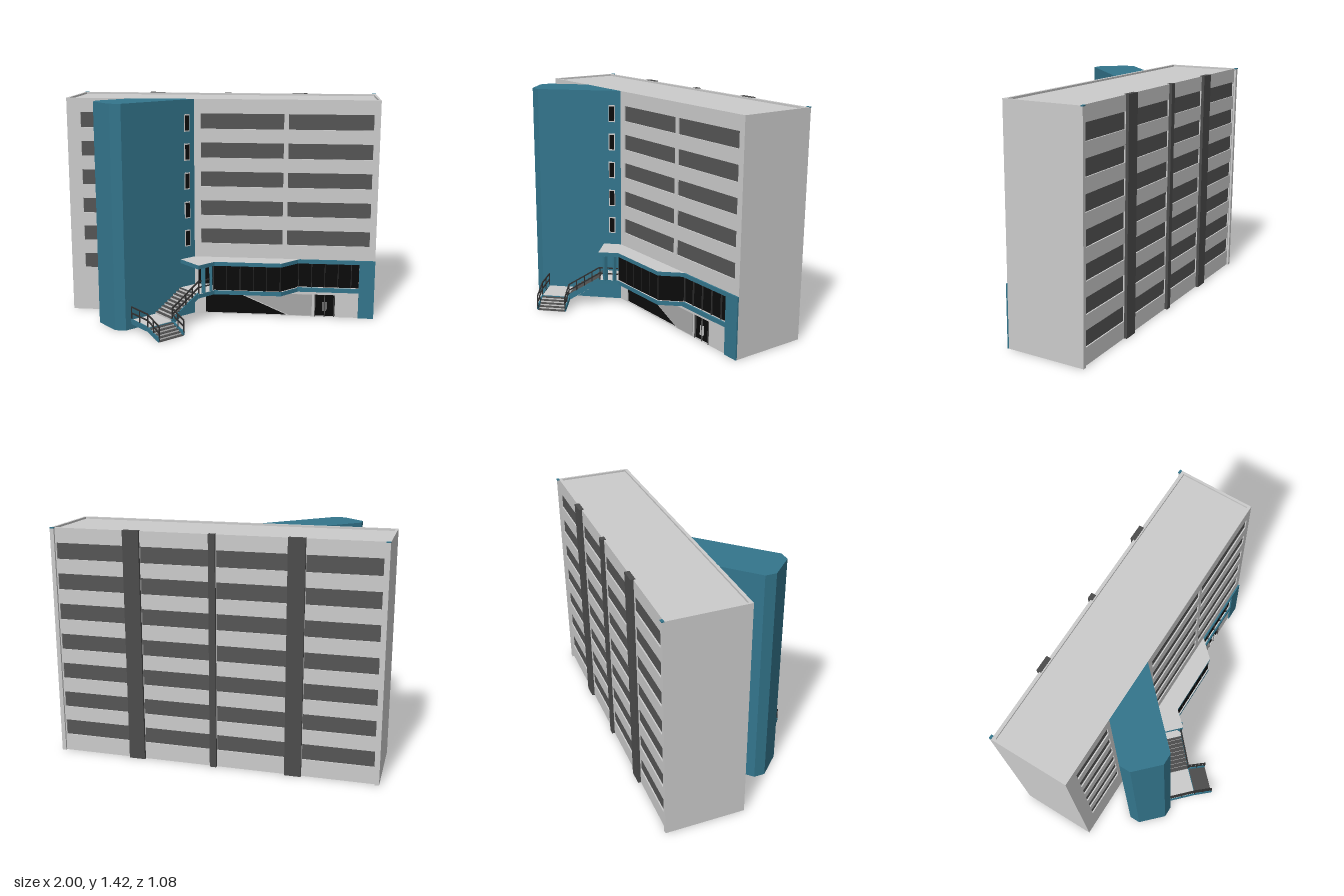
import * as THREE from 'three';

const mat = (name, color, side = THREE.FrontSide) => {
  const m = new THREE.MeshStandardMaterial({ color, side });
  m.name = name;
  return m;
};

export function createModel() {
  const wall = mat('lightWall', 0xcbcbcb);
  const teal = mat('tealPaint', 0x33758c);
  const strip = mat('greyGlass', 0x555555);
  const dark = mat('darkGrey', 0x4c4c4c);
  const black = mat('blackGlass', 0x0b0b0b, THREE.DoubleSide);
  const rail = mat('railMetal', 0x303030);
  const recess = mat('greyPanel', 0xa8a8a8);
  const root = new THREE.Group();

  const add = (name, geo, m, parent = root) => {
    const mesh = new THREE.Mesh(geo, m);
    mesh.name = name;
    parent.add(mesh);
    return mesh;
  };
  // box given by its minimum and maximum corners
  const box = (name, x0, x1, y0, y1, z0, z1, m, parent = root) => {
    const b = add(name, new THREE.BoxGeometry(x1 - x0, y1 - y0, z1 - z0), m, parent);
    b.position.set((x0 + x1) / 2, (y0 + y1) / 2, (z0 + z1) / 2);
    return b;
  };
  // straight square bar between two points
  const bar = (name, a, b, w, h, m, parent = root) => {
    const p = new THREE.Vector3(...a), q = new THREE.Vector3(...b);
    const mesh = add(name, new THREE.BoxGeometry(w, h, p.distanceTo(q)), m, parent);
    mesh.position.copy(p).add(q).multiplyScalar(0.5);
    const d = q.clone().sub(p).normalize();
    if (Math.abs(d.y) > 0.99) mesh.rotation.x = Math.PI / 2;
    else mesh.rotation.set(-Math.asin(d.y), Math.atan2(d.x, d.z), 0, 'YXZ');
    return mesh;
  };
  const shapeOf = pts => new THREE.Shape(pts.map(p => new THREE.Vector2(...p)));
  const rect = (x0, x1, y0, y1) => [[x0, y0], [x1, y0], [x1, y1], [x0, y1]];
  const extrude = (s, depth) => new THREE.ExtrudeGeometry(s, { depth, bevelEnabled: false });
  // horizontal slab from a plan of [x, z] points
  const slab = (name, plan, y0, y1, m) => {
    const mesh = add(name, extrude(shapeOf(plan.map(([x, z]) => [x, -z])), y1 - y0).rotateX(-Math.PI / 2), m);
    mesh.position.y = y0;
    return mesh;
  };

  const H = 1.42, ZF = -0.045, ZB = -0.53;
  const rows = [0.155, 0.342, 0.53, 0.717, 0.907, 1.094, 1.28];

  // Facades: sheets with openings and set-back glass
  const facade = (name, openings, z) => {
    const s = shapeOf(rect(-1, 1, 0, H));
    for (const [pts, m, label] of openings) {
      s.holes.push(new THREE.Path(pts.map(p => new THREE.Vector2(...p))));
      const g = add(label, extrude(shapeOf(pts), 0.004), m);
      g.position.z = z + 0.008;
    }
    add(name, extrude(s, 0.02), wall).position.z = z;
  };
  const front = [], back = [];
  rows.slice(1).forEach((y, i) => {
    front.push([rect(-0.91, -0.6, y - 0.049, y + 0.049), strip, 'windowStrip']);
    if (i > 0) for (const [a, b] of [[-0.13, 0.4], [0.43, 0.96]])
      front.push([rect(a, b, y - 0.049, y + 0.049), strip, 'windowStrip']);
  });
  front.push([rect(-0.15, 0.9, 0.2, 0.36), black, 'firstFloorGlass']);
  front.push([[[-0.1, 0.004], [0.44, 0.004], [0.1, 0.15], [-0.1, 0.15]], black, 'groundFloorGlass']);
  front.push([rect(0.62, 0.75, 0.004, 0.15), black, 'entranceGlass']);
  facade('frontWall', front, ZF - 0.02);

  const pilasters = [[-0.54, -0.44], [-0.02, 0.02], [0.44, 0.54]];
  const bays = [[-0.97, -0.54], [-0.44, -0.02], [0.02, 0.44], [0.54, 0.97]];
  for (const y of rows) for (const [a, b] of bays)
    back.push([rect(a + 0.002, b - 0.002, y - 0.049, y + 0.049), strip, 'backWindowStrip']);
  facade('backWall', back, ZB);
  for (const [a, b] of pilasters) box('backPilaster', a, b, 0, H + 0.003, -0.548, ZB + 0.012, dark);

  // End walls, roof, parapet and rear corner piers
  for (const s of [-1, 1]) {
    const [a, b] = s < 0 ? [-1, -0.985] : [0.985, 1];
    box('endWall', a, b, 0, H, ZB, ZF, wall);
    const [c, d] = s < 0 ? [-1, -0.975] : [0.975, 1];
    box('cornerPier', c, d, 0, H - 0.004, -0.543, ZB, wall);
    box('cornerPierCap', c, d, H - 0.004, H + 0.002, -0.545, ZB, teal);
  }
  box('roof', -0.985, 0.985, H - 0.025, H - 0.012, ZB + 0.01, ZF - 0.01, wall);

  // Entrance doors and ground floor panel
  add('groundPanel', extrude(shapeOf([[0.12, 0.15], [0.45, 0.006], [0.6, 0.006], [0.6, 0.15]]), 0.003), recess).position.z = ZF;
  for (const x of [0.62, 0.683, 0.745]) box('doorFrame', x - 0.003, x + 0.003, 0, 0.15, ZF - 0.014, ZF + 0.002, dark);
  for (const x of [0.674, 0.692]) box('doorHandle', x - 0.003, x + 0.003, 0.04, 0.1, ZF - 0.01, ZF + 0.004, wall);

  // Stair tower
  slab('stairTower', [[-0.57, -0.046], [-0.76, 0.14], [-0.76, 0.21], [-0.63, 0.342], [-0.56, 0.342], [-0.172, -0.046]], 0, H, teal);
  rows.slice(2).forEach(y => {
    const w = new THREE.Group();
    w.name = 'towerWindow';
    w.position.set(-0.214, y - 0.008, -0.003);
    w.rotation.y = Math.PI / 4;
    root.add(w);
    box('towerWindowFrame', -0.021, 0.021, -0.055, 0.055, -0.004, 0.003, wall, w);
    box('towerWindowGlass', -0.015, 0.015, -0.047, 0.047, 0, 0.006, black, w);
  });

  // Projecting first floor: deck, canopy, glazing
  const plan = [[-0.174, -0.045], [-0.255, 0.037], [-0.12, 0.172], [-0.03, 0.075], [0.4, 0.075], [0.515, -0.045]];
  slab('balconyDeck', plan, 0.17, 0.198, [wall, teal]);
  slab('canopy', plan, 0.362, 0.388, [wall, teal]);
  slab('bayGlazing', [[-0.04, -0.045], [-0.04, 0.066], [0.395, 0.066], [0.502, -0.045]], 0.198, 0.362, black);
  for (const [y0, y1] of [[0.17, 0.198], [0.362, 0.388]]) box('tealBand', 0.5, 0.9, y0, y1, ZF, ZF + 0.01, teal);
  box('tealCornerPanel', 0.9, 1, 0, 0.388, ZF, ZF + 0.01, teal);
  for (let i = 0; i <= 5; i++) {
    const x = -0.037 + i * 0.086;
    box('bayMullion', x - 0.002, x + 0.002, 0.198, 0.362, 0.064, 0.069, rail);
  }
  for (let i = 0; i < 5; i++) {
    const x = 0.51 + i * 0.085;
    box('windowMullion', x - 0.002, x + 0.002, 0.2, 0.36, ZF - 0.012, ZF + 0.001, rail);
  }
  for (const [x, z, w] of [[-0.095, 0.135, 0.024], [-0.052, 0.09, 0.018]])
    box('canopyPost', x - w / 2, x + w / 2, 0.198, 0.362, z - w / 2, z + w / 2, teal);
  for (const y of [0.24, 0.28]) bar('balconyRail', [-0.125, y, 0.165], [-0.035, y, 0.073], 0.007, 0.007, rail);

  // Outside stair, turned to run along the tower face
  const stair = new THREE.Group();
  stair.name = 'outsideStair';
  stair.position.set(-0.4, 0, 0.31);
  stair.rotation.y = Math.PI / 4;
  root.add(stair);
  const L = 0.09, yL = 0.062, yT = 0.197, xT = 0.303, zT = 0.212;
  box('landing', -L, L, 0.04, yL, -L, L, wall, stair);
  box('landingEdge', -L - 0.006, -L, 0.035, yL + 0.006, -L, L, teal, stair);
  box('landingEdge', -L, L, 0.035, yL - 0.003, L, L + 0.004, teal, stair);

  // Upper flight on a sloped slab
  const n = 9, run = (xT - L) / n, rise = (yT - yL) / n;
  const side = shapeOf([[L - 0.005, 0.04], [L + 0.01, 0.04], [xT, 0.172], [xT, yT - 0.01], [L - 0.005, yL - 0.003]]);
  add('upperFlightSlab', extrude(side, 2 * L), wall, stair).position.z = -L;
  for (let i = 0; i < n; i++) {
    const x = L + i * run, y = yL + (i + 1) * rise;
    box('upperStep', x, x + run, y - rise * 1.6, y - 0.003, -L, L, wall, stair);
    box('upperTread', x, x + run, y - 0.003, y, -L, L, dark, stair);
  }
  bar('upperStringer', [L, yL - 0.004, L + 0.003], [xT, yT - 0.004, L + 0.003], 0.008, 0.034, teal, stair);

  // Lower flight
  const k = 5, step = (zT - L) / k;
  for (let i = 0; i < k; i++) {
    const z = L + i * step, y = yL * (1 - (i + 0.6) / k);
    box('lowerStep', -L, L, Math.max(0, y - 0.025), y - 0.003, z, z + step, wall, stair);
    box('lowerTread', -L, L, y - 0.003, y, z, z + step, dark, stair);
  }
  for (const s of [-1, 1])
    bar('lowerStringer', [s * (L + 0.003), yL - 0.01, L], [s * (L + 0.003), 0.014, zT], 0.008, 0.026, teal, stair);

  // Handrails with posts
  const handrail = (a, b, posts) => {
    for (const h of [0.045, 0.085])
      bar('handrail', [a[0], a[1] + h, a[2]], [b[0], b[1] + h, b[2]], 0.007, 0.008, rail, stair);
    for (let i = 0; i < posts; i++) {
      const p = a.map((v, j) => v + (b[j] - v) * i / (posts - 1));
      bar('railPost', p, [p[0], p[1] + 0.085, p[2]], 0.006, 0.006, rail, stair);
    }
  };
  const e = L + 0.002;
  handrail([-e, yL, -L], [-e, yL, L], 3);
  handrail([-e, yL, L], [-e, 0.015, zT], 3);
  handrail([e, yL, L], [e, 0.015, zT], 3);
  handrail([e, yL, e], [xT, yT, e], 5);

  return root;
}
